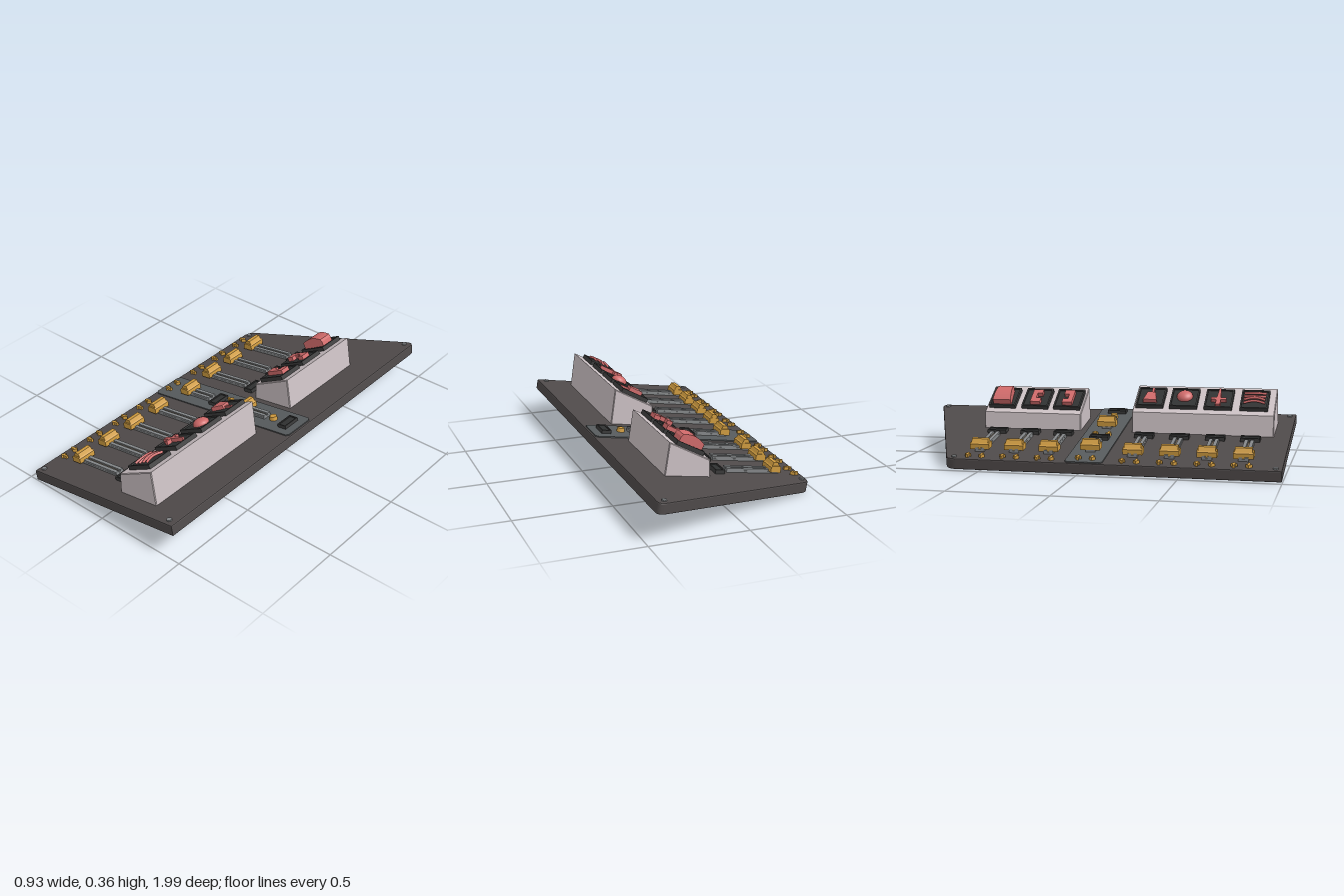
import * as THREE from 'three';

const material = (color, extra = {}) => new THREE.MeshStandardMaterial({ color, flatShading: true, ...extra });
const body = material(0x4f4a4a), steel = material(0x85888a), dark = material(0x3a3a3a);
const strip = material(0x575b5d), shell = material(0xcdc2c5), gold = material(0xd09c40);
const red = material(0xd06a6a), redSmooth = material(0xd06a6a, { flatShading: false });
const slot = material(0x6b5f50), glass = material(0x303232);

const TILT = 0.158;
const U = x => x / Math.cos(TILT); // plan x to distance along the sloped deck

function add(parent, name, geometry, mat, x = 0, y = 0, z = 0) {
  const mesh = new THREE.Mesh(geometry, mat);
  mesh.name = name;
  mesh.position.set(x, y, z);
  parent.add(mesh);
  return mesh;
}

function group(parent, name, x = 0, y = 0, z = 0) {
  const g = new THREE.Group();
  g.name = name;
  g.position.set(x, y, z);
  parent.add(g);
  return g;
}

const box = (w, h, d) => new THREE.BoxGeometry(w, h, d);
const shapeOf = pts => new THREE.Shape(pts.map(p => new THREE.Vector2(...p)));

// Outline in (x, -z), raised from y = 0 to y = height, bevel kept inside the outline
function slab(shape, height, bevel = 0) {
  const g = new THREE.ExtrudeGeometry(shape, {
    depth: height - 2 * bevel, bevelEnabled: bevel > 0, bevelThickness: bevel,
    bevelSize: bevel, bevelOffset: -bevel, bevelSegments: 2, curveSegments: 8,
  });
  return g.translate(0, 0, bevel).rotateX(-Math.PI / 2);
}

// Side profile in (x, y), extruded along z and centred
function prism(pts, width, bevel = 0) {
  return new THREE.ExtrudeGeometry(shapeOf(pts), {
    depth: width - 2 * bevel, bevelEnabled: bevel > 0, bevelThickness: bevel,
    bevelSize: bevel, bevelOffset: -bevel, bevelSegments: 1,
  }).translate(0, 0, -width / 2 + bevel);
}

// Raised rim around a sunken plate
function framed(parent, name, w, d, h, rim, x = 0, y = 0, z = 0) {
  const g = group(parent, name, x, y, z);
  const rect = (a, b) => [[-a, -b], [a, -b], [a, b], [-a, b]];
  const outline = shapeOf(rect(w / 2, d / 2));
  outline.holes.push(shapeOf(rect(w / 2 - rim, d / 2 - rim)));
  add(g, 'rim', slab(outline, h), dark);
  add(g, 'insert', box(w - 2 * rim, h * 0.7, d - 2 * rim), glass, 0, h * 0.35);
  return g;
}

function slider(deck, x0, x1, z, knobX, base = 0) {
  const g = group(deck, 'slider', 0, base, z);
  const len = U(x1 - x0), mid = U((x0 + x1) / 2);
  add(g, 'track', box(len, 0.01, 0.05), steel, mid, 0.005);
  for (const s of [-1, 1]) add(g, 'rail', box(len, 0.02, 0.018), steel, mid, 0.01, s * 0.015);
  add(g, 'slot', box(len * 0.85, 0.004, 0.009), slot, mid, 0.012);
  const k = group(g, 'knob', U(knobX), 0.012, 0);
  add(k, 'knobBase', prism([[-0.027, 0], [0.027, 0], [0.027, 0.026], [0.021, 0.032], [-0.021, 0.032], [-0.027, 0.026]], 0.1), gold);
  add(k, 'knobGrip', prism([[-0.021, 0.032], [0.021, 0.032], [0.013, 0.05], [-0.009, 0.05]], 0.086), gold);
}

// A pair of arrow markers pointing opposite ways
function arrows(deck, x, z, base = 0) {
  const outline = shapeOf([[-0.021, -0.006], [0.002, -0.006], [0.002, -0.016], [0.021, 0], [0.002, 0.016], [0.002, 0.006], [-0.021, 0.006]]);
  for (const s of [-1, 1]) {
    const a = add(deck, 'arrow', slab(outline, 0.016), gold, U(x), base, z + s * 0.036);
    if (s > 0) a.rotation.y = Math.PI;
  }
}

// Red emblems: each sits on its key, x running up the slope
const emblems = {
  dome(g) {
    const pts = [[0.055, 0.015], [0.055, 0.04]];
    for (let i = 0; i <= 8; i++) pts.push([0.05 - 0.12 * i / 8, 0.042 + 0.026 * Math.sin(Math.PI * (0.15 + 0.75 * i / 8))]);
    pts.push([-0.07, 0.015]);
    const geo = prism(pts.reverse(), 0.09);
    const p = geo.attributes.position; // flare toward the low end
    for (let i = 0; i < p.count; i++) p.setZ(i, p.getZ(i) * (0.95 - 2 * p.getX(i)));
    geo.computeVertexNormals();
    add(g, 'dome', geo, red);
  },
  bracket(g, flip) {
    const geo = slab(shapeOf([[-0.06, 0.027], [-0.06, -0.027], [-0.025, -0.027], [-0.025, 0], [0.015, 0], [0.015, -0.027], [0.048, -0.027], [0.048, 0.027]]), 0.022);
    if (flip) geo.rotateY(Math.PI);
    add(g, 'bracket', geo, red, flip ? -0.01 : 0, 0.015);
  },
  cup(g) {
    add(g, 'cup', slab(shapeOf([[-0.05, -0.037], [0.02, -0.022], [0.02, 0.022], [-0.05, 0.037]]), 0.024, 0.004), red, 0, 0.014);
    add(g, 'stem', box(0.05, 0.012, 0.012), red, 0.042, 0.02, 0.004);
  },
  ball(g) {
    add(g, 'ball', new THREE.SphereGeometry(0.042, 20, 14).scale(1, 0.65, 1), redSmooth, 0.008, 0.02);
  },
  cross(g) {
    const pts = [[-0.07, -0.013], [-0.03, -0.011], [-0.03, -0.04], [-0.012, -0.04], [-0.012, -0.011], [0.066, -0.005], [0.066, 0.005],
      [-0.012, 0.011], [-0.012, 0.04], [-0.03, 0.04], [-0.03, 0.011], [-0.07, 0.013]];
    add(g, 'cross', slab(shapeOf(pts), 0.02), red, 0, 0.015);
  },
  waves(g) {
    for (let i = 0; i < 4; i++) {
      const x = -0.038 + i * 0.028, bend = 0.009 * (i < 2 ? 1 : -1);
      const path = new THREE.CatmullRomCurve3([-0.056, -0.028, 0, 0.028, 0.056].map(z =>
        new THREE.Vector3(x + bend * Math.cos(z * 28), 0.024 + 0.008 * Math.cos(z * 28), z)));
      add(g, 'wave', new THREE.TubeGeometry(path, 14, 0.007, 6), redSmooth);
    }
  },
};

// Wedge housing with a row of keys on its slope
function housing(root, z0, z1, drop, keys) {
  const g = group(root, 'keyHousing');
  const profile = [[0.05, 0.13], [0.291, 0.13], [0.257, 0.362 - drop], [0.05, 0.247 - drop]];
  add(g, 'housingShell', prism(profile, z1 - z0, 0.004), shell, 0, 0, (z0 + z1) / 2);
  for (const [kind, z, flip] of keys) {
    const key = framed(g, 'key', 0.158, 0.145, 0.022, 0.008, 0.15, 0.3026 - drop, z);
    key.rotation.z = Math.atan2(0.115, 0.207);
    emblems[kind](key, flip);
  }
}

export function createModel() {
  const root = new THREE.Group();
  root.name = 'controlPanel';
  const deck = group(root, 'deck', 0, 0.1305, 0);
  deck.rotation.z = TILT;

  // Base plate with a slanted rear edge
  const plate = new THREE.Shape();
  plate.moveTo(-0.472, -0.997);
  plate.lineTo(0.463, -0.997);
  plate.lineTo(0.454, 0.97);
  plate.quadraticCurveTo(0.452, 1.005, 0.415, 0.996);
  plate.lineTo(-0.435, 0.69);
  plate.quadraticCurveTo(-0.472, 0.675, -0.472, 0.63);
  add(deck, 'basePlate', slab(plate, 0.057, 0.006), body, 0, -0.057);

  // Corner screws
  for (const [x, z] of [[-0.435, -0.645], [0.41, -0.965], [-0.435, 0.965], [0.415, 0.965]])
    add(deck, 'screw', new THREE.CylinderGeometry(0.013, 0.013, 0.008, 10), steel, U(x), 0.003, z);

  // Slider rows, each with arrows and a small display
  for (const z of [-0.54, -0.36, -0.18, 0.25, 0.435, 0.62, 0.8]) {
    slider(deck, -0.345, -0.065, z, -0.316);
    arrows(deck, -0.424, z);
    framed(deck, 'display', 0.05, 0.1, 0.02, 0.006, U(-0.02), 0, z);
  }

  // Centre strip with two short sliders and a button
  const mid = 0.028, top = 0.006;
  add(deck, 'centreStrip', slab(shapeOf([[-0.465, -0.08], [-0.45, -0.095], [0.435, -0.095], [0.448, -0.08],
    [0.448, 0.08], [0.435, 0.095], [-0.45, 0.095], [-0.465, 0.08]]), top), strip, 0, 0, 0.025);
  slider(deck, -0.305, -0.135, mid, -0.284, top);
  slider(deck, 0.08, 0.24, mid, 0.106, top);
  for (const x of [-0.415, -0.03]) arrows(deck, x, mid, top);
  for (const x of [-0.09, 0.373]) framed(deck, 'display', 0.05, 0.1, 0.018, 0.006, U(x), top, mid);
  add(deck, 'button', new THREE.CylinderGeometry(0.018, 0.021, 0.02, 16), gold, U(0.281), top + 0.01, mid);

  // Key housings
  housing(root, -0.635, -0.105, 0.022, [['dome', -0.545], ['bracket', -0.365], ['bracket', -0.19, true]]);
  housing(root, 0.17, 0.912, 0, [['cup', 0.257], ['ball', 0.435], ['cross', 0.617], ['waves', 0.803]]);
  return root;
}
